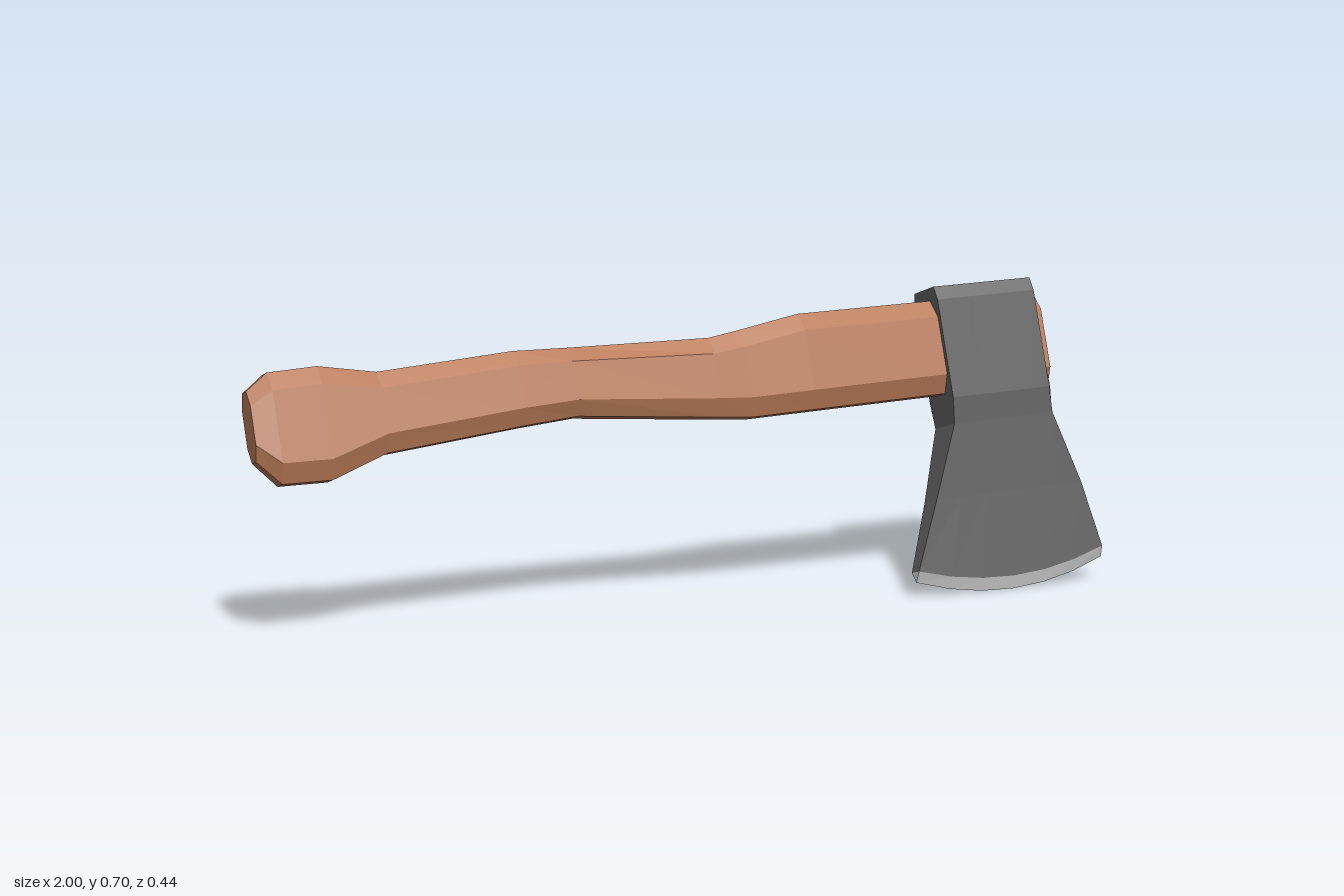
import * as THREE from 'three';

const paint = (name, color, extra = {}) => {
  const m = new THREE.MeshStandardMaterial({ color, flatShading: true, ...extra });
  m.name = name;
  return m;
};

// Skin a list of equal-length rings; optionally close the first and last ring.
function loft(rings, capStart, capEnd) {
  const pos = [];
  const tri = (...pts) => pts.forEach((p) => pos.push(...p));
  const n = rings[0].length;
  for (let r = 0; r < rings.length - 1; r++) {
    const a = rings[r], b = rings[r + 1];
    for (let i = 0; i < n; i++) {
      const j = (i + 1) % n;
      tri(a[i], a[j], b[j]);
      tri(a[i], b[j], b[i]);
    }
  }
  const cap = (ring, flip) => {
    const mid = [0, 1, 2].map((k) => ring.reduce((s, p) => s + p[k], 0) / n);
    ring.forEach((p, i) => {
      const q = ring[(i + 1) % n];
      if (flip) tri(mid, q, p); else tri(mid, p, q);
    });
  };
  if (capStart) cap(rings[0], true);
  if (capEnd) cap(rings[rings.length - 1], false);
  const g = new THREE.BufferGeometry();
  g.setAttribute('position', new THREE.Float32BufferAttribute(pos, 3));
  g.computeVertexNormals();
  return g;
}

// Chamfered eight-sided handle section at x
function handleRing([x, bottom, top, half]) {
  const cy = Math.min(0.042, (top - bottom) * 0.22), cz = half * 0.55;
  return [
    [x, top, half - cz], [x, top - cy, half], [x, bottom + cy, half], [x, bottom, half - cz],
    [x, bottom, cz - half], [x, bottom + cy, -half], [x, top - cy, -half], [x, top, cz - half],
  ];
}

// Flat head section: from x0 to x1, half thickness h, sagging in the middle by bow
const STEPS = 6;
function headRing([y, x0, x1, h, bow = 0]) {
  const front = [], back = [];
  for (let i = 0; i <= STEPS; i++) {
    const t = i / STEPS;
    const x = x0 + (x1 - x0) * t;
    const yy = y + bow * (2 * t - 1) ** 2;
    front.unshift([x, yy, h]);
    back.push([x, yy, -h]);
  }
  return [...front, ...back];
}

export function createModel() {
  const group = new THREE.Group();
  const wood = paint('wood', 0xb87a58);
  const steel = paint('dark steel', 0x606060);
  const bright = paint('sharpened steel', 0xd6d6d6);

  const axe = new THREE.Group();
  axe.name = 'axe';
  axe.rotation.set(-0.295, -0.118, 0);
  axe.position.z = 0.107;
  group.add(axe);
  const add = (name, geometry, material) => {
    const mesh = new THREE.Mesh(geometry, material);
    mesh.name = name;
    axe.add(mesh);
  };

  // Handle stations: x, bottom, top, half thickness
  add('handle', loft([
    [-1.004, 0.467, 0.617, 0.034],
    [-0.955, 0.413, 0.652, 0.045],
    [-0.845, 0.410, 0.655, 0.045],
    [-0.715, 0.454, 0.630, 0.043],
    [-0.40, 0.479, 0.645, 0.043],
    [-0.27, 0.487, 0.640, 0.043],
    [0.07, 0.449, 0.630, 0.043],
    [0.15, 0.441, 0.641, 0.043],
    [0.30, 0.442, 0.664, 0.045],
    [0.64, 0.444, 0.663, 0.046],
    [0.923, 0.435, 0.657, 0.046],
  ].map(handleRing), true, true), wood);

  // Head stations: y, x0, x1, half thickness, bow
  const cheekEnd = [0.004, 0.507, 1.001, 0.018, 0.04];
  add('axeHead', loft([
    [0.692, 0.646, 0.905, 0.047],
    [0.66, 0.646, 0.905, 0.057],
    [0.43, 0.646, 0.905, 0.057],
    [0.37, 0.644, 0.908, 0.047],
    [0.20, 0.575, 0.965, 0.030],
    cheekEnd,
  ].map(headRing), true, false), steel);

  // Sharpened edge
  add('cuttingEdge', loft([
    cheekEnd,
    [-0.025, 0.505, 1.004, 0, 0.045],
  ].map(headRing), false, false), bright);

  // Thin wooden face around the eye on the outer end of the head: y, z
  const outline = [
    [0.683, 0.016], [0.663, 0.02], [0.624, 0.043], [0.487, 0.049], [0.433, 0.054], [0.389, 0.046],
    [0.38, 0.023], [0.343, 0.006], [0.343, -0.03], [0.43, -0.047], [0.664, -0.055], [0.69, -0.046],
  ];
  const plate = (lift) => outline.map(([y, z]) => [0.903 + lift + Math.max(0, 0.39 - y) * 0.24, y, z]);
  add('eyePlate', loft([plate(0), plate(0.006)], true, true), wood);

  return group;
}
